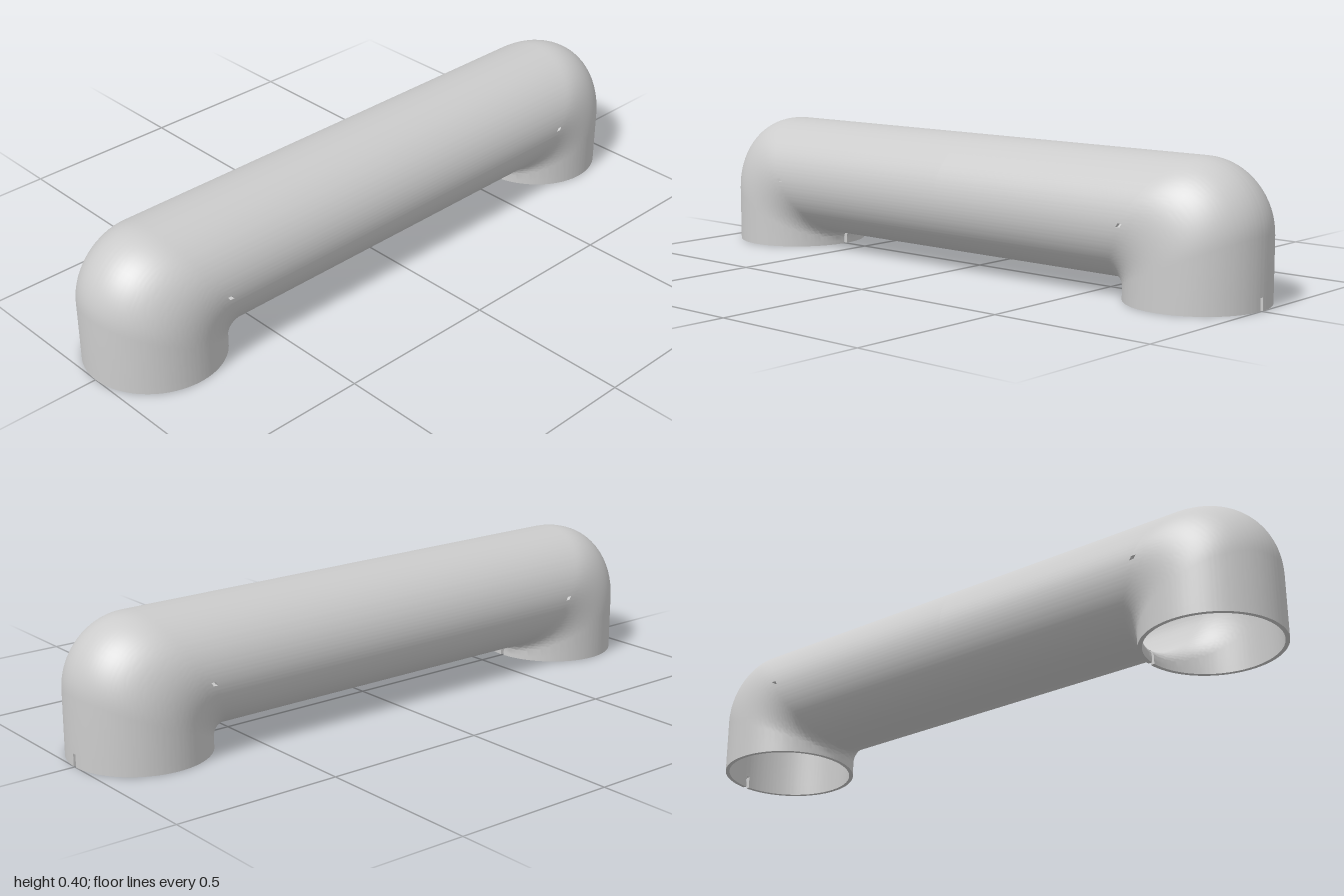
import * as THREE from 'three';
import { toCreasedNormals } from 'three/addons/utils/BufferGeometryUtils.js';

const SEGMENTS = 208; // around the pipe
const BEND = 16;      // steps in each elbow
const WALL = 0.012;   // wall thickness

// Cross-sections of one skin, inset by w, from the foot at +x over to the foot at -x.
// Each is an ellipse spanning an underside point to an outside point [x, y].
function crossSections(w) {
  const half = [
    [[0.59 + w, 0], [1 - w, 0]],
    [[0.59 + w, 0.01], [1 - w, 0.037]],
  ];
  for (let i = 0; i <= BEND; i++) {
    const t = (i / BEND) * Math.PI / 2, c = Math.cos(t), s = Math.sin(t);
    half.push([
      [0.57 + (0.02 + w) * c, 0.02 + (0.02 + w) * s],
      [0.8 + (0.2 - w) * c, 0.2 + (0.2 - w) * s],
    ]);
  }
  // far edge of the pinhole strip
  half.push([[0.556, 0.04 + w], [0.786, 0.4 - w]]);
  const mirrored = half.map((row) => row.map(([x, y]) => [-x, y])).reverse();
  return [...half, [[0, 0.04 + w], [0, 0.4 - w]], ...mirrored];
}

function skinPoints(w) {
  return crossSections(w).map(([under, outer]) => {
    const ring = [];
    for (let j = 0; j < SEGMENTS; j++) {
      const a = (j / SEGMENTS) * Math.PI * 2;
      const k = (1 + Math.cos(a)) / 2;
      ring.push([
        under[0] + (outer[0] - under[0]) * k,
        under[1] + (outer[1] - under[1]) * k,
        (0.205 - w) * Math.sin(a),
      ]);
    }
    return ring;
  });
}

function pipeGeometry() {
  const outside = skinPoints(0), inside = skinPoints(WALL);
  const strips = outside.length - 1;
  const wrap = (j) => (j + SEGMENTS) % SEGMENTS;
  const beside = (j, centre) => j === wrap(centre) || j === wrap(centre - 1);

  // False past the open feet, in the foot notches and in the side pinholes
  const solid = (i, j) => {
    if (i < 0 || i >= strips) return false;
    j = wrap(j);
    const end = strips - 1 - i;
    if (i === 0 && beside(j, 0)) return false;
    if (end < 2 + BEND / 2 && beside(j, SEGMENTS / 2)) return false;
    if (Math.min(i, end) === 2 + BEND
      && (beside(j, SEGMENTS / 4) || beside(j, SEGMENTS * 3 / 4))) return false;
    return true;
  };

  const positions = [];
  const quad = (a, b, c, d) => positions.push(...a, ...b, ...c, ...a, ...c, ...d);

  for (let i = 0; i < strips; i++) {
    for (let j = 0; j < SEGMENTS; j++) {
      if (!solid(i, j)) continue;
      const corners = [[i, j], [i + 1, j], [i + 1, wrap(j + 1)], [i, wrap(j + 1)]];
      const o = corners.map(([r, s]) => outside[r][s]);
      const n = corners.map(([r, s]) => inside[r][s]);
      quad(o[0], o[1], o[2], o[3]);
      quad(n[3], n[2], n[1], n[0]);
      // Close the wall thickness wherever the neighbouring patch is missing
      const neighbours = [[i, j - 1], [i + 1, j], [i, j + 1], [i - 1, j]];
      neighbours.forEach(([r, s], e) => {
        const f = (e + 1) % 4;
        if (!solid(r, s)) quad(o[f], o[e], n[e], n[f]);
      });
    }
  }
  const geometry = new THREE.BufferGeometry();
  geometry.setAttribute('position', new THREE.Float32BufferAttribute(positions, 3));
  return toCreasedNormals(geometry, Math.PI / 5);
}

export function createModel() {
  const model = new THREE.Group();
  model.name = 'pipeHandle';
  const material = new THREE.MeshStandardMaterial({ color: 0xcccccc });
  const pipe = new THREE.Mesh(pipeGeometry(), material);
  pipe.name = 'hollowBentPipe';
  model.add(pipe);
  return model;
}
